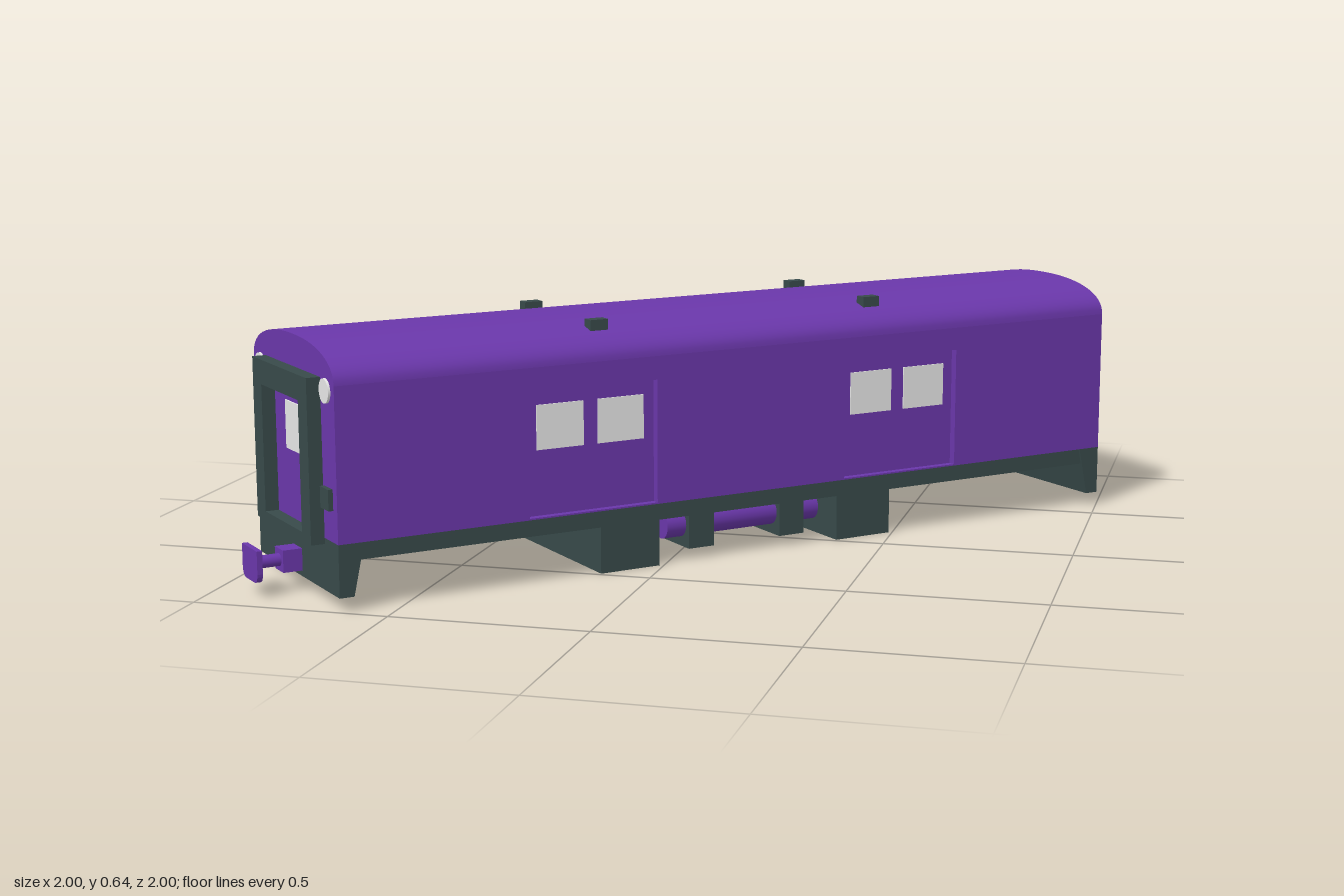
import * as THREE from 'three';
import { toCreasedNormals } from 'three/addons/utils/BufferGeometryUtils.js';

const HALF_L = 1.1455, HALF_W = 0.269, FLOOR = 0.165, EAVE = 0.545, TOP = 0.635;

const paint = (name, hex) => {
  const m = new THREE.MeshStandardMaterial({ color: hex });
  m.name = name;
  return m;
};

function rect(PathType, x0, x1, y0, y1) {
  const p = new PathType();
  p.moveTo(x0, y0);
  p.lineTo(x1, y0);
  p.lineTo(x1, y1);
  p.lineTo(x0, y1);
  p.closePath();
  return p;
}

export function createModel() {
  const purple = paint('purple', 0x6a37aa);
  const dark = paint('darkGrey', 0x384a4a);
  const white = paint('white', 0xeeeeee);

  const model = new THREE.Group();
  model.name = 'railCar';
  const car = new THREE.Group();
  car.name = 'car';
  car.rotation.y = Math.PI / 4; // the car stands diagonally
  model.add(car);

  const add = (parent, name, geometry, material) => {
    const mesh = new THREE.Mesh(geometry, material);
    mesh.name = name;
    parent.add(mesh);
    return mesh;
  };
  // Box given by its limits along the car, upwards and across
  const box = (parent, name, material, x0, x1, y0, y1, z0, z1) => {
    const g = new THREE.BoxGeometry(x1 - x0, y1 - y0, z1 - z0);
    g.translate((x0 + x1) / 2, (y0 + y1) / 2, (z0 + z1) / 2);
    return add(parent, name, g, material);
  };

  // Body core, which also forms the recessed door panels
  box(car, 'bodyCore', purple, -HALF_L, HALF_L, FLOOR, EAVE, -0.249, 0.249);

  // Roof arch
  const arch = new THREE.Shape();
  arch.moveTo(-HALF_W, EAVE);
  arch.lineTo(HALF_W, EAVE);
  const steps = 28;
  for (let i = 1; i <= steps; i++) {
    const a = (Math.PI * i) / steps, c = Math.cos(a), s = Math.sin(a);
    arch.lineTo(HALF_W * Math.sign(c) * Math.abs(c) ** 0.88, EAVE + (TOP - EAVE) * Math.abs(s) ** 0.88);
  }
  let roof = new THREE.ExtrudeGeometry(arch, { depth: HALF_L * 2, bevelEnabled: false });
  roof.translate(0, 0, -HALF_L);
  roof.rotateY(Math.PI / 2);
  add(car, 'roof', toCreasedNormals(roof, 0.7), purple);

  // Sides: wall with door openings, paired windows, roof vents, underfloor cylinder
  for (const turn of [0, Math.PI]) {
    const side = new THREE.Group();
    side.name = turn ? 'rearSide' : 'frontSide';
    side.rotation.y = turn;
    car.add(side);

    const wall = rect(THREE.Shape, -HALF_L, HALF_L, FLOOR, EAVE);
    for (const x of [-0.463, 0.463]) {
      wall.holes.push(rect(THREE.Path, x - 0.18, x + 0.18, FLOOR + 0.004, 0.485));
      for (const s of [-1, 1]) {
        const w = x + s * 0.085;
        box(side, 'doorWindow', white, w - 0.065, w + 0.065, 0.335, 0.448, 0.247, 0.252);
      }
    }
    const wallGeo = new THREE.ExtrudeGeometry(wall, { depth: 0.02, bevelEnabled: false });
    wallGeo.translate(0, 0, HALF_W - 0.02);
    add(side, 'sideWall', wallGeo, purple);

    for (const x of [-0.41, 0.41]) box(side, 'roofVent', dark, x - 0.025, x + 0.025, 0.59, 0.638, 0.168, 0.2);

    const tank = new THREE.CylinderGeometry(0.036, 0.036, 0.46, 20);
    tank.rotateZ(Math.PI / 2);
    tank.translate(0, 0.088, 0.19);
    add(side, 'airCylinder', tank, purple);
  }

  // Underframe
  box(car, 'underframe', dark, -HALF_L, HALF_L, 0.122, FLOOR, -0.264, 0.264);
  for (const s of [-1, 1]) {
    const span = (name, a, b, y0, y1, w) =>
      box(car, name, dark, Math.min(s * a, s * b), Math.max(s * a, s * b), y0, y1, -w, w);
    span('floorPanel', 0.439, 1.1, 0.102, 0.124, 0.14);
    span('equipmentBox', 0.27, 0.439, 0, 0.124, 0.255);
    span('crossBeam', 0.1, 0.175, 0.028, 0.124, 0.24);
  }
  box(car, 'centreBeam', dark, -0.1, 0.1, 0.06, 0.124, -0.06, 0.06);

  // Ends
  for (const turn of [0, Math.PI]) {
    const end = new THREE.Group();
    end.name = turn ? 'leftEnd' : 'rightEnd';
    end.rotation.y = turn;
    car.add(end);

    // Tapered headstock
    const stock = new THREE.Shape();
    stock.moveTo(1.08, FLOOR);
    stock.lineTo(1.108, 0.035);
    stock.lineTo(HALF_L, 0.035);
    stock.lineTo(HALF_L, FLOOR);
    stock.closePath();
    const stockGeo = new THREE.ExtrudeGeometry(stock, { depth: HALF_W * 2, bevelEnabled: false });
    stockGeo.translate(0, 0, -HALF_W);
    add(end, 'headstock', stockGeo, dark);

    // Gangway frame around the end door
    const frame = rect(THREE.Shape, -0.183, 0.183, 0.15, 0.555);
    frame.holes.push(rect(THREE.Path, -0.125, 0.125, 0.172, 0.493));
    const frameGeo = new THREE.ExtrudeGeometry(frame, { depth: 0.035, bevelEnabled: false });
    frameGeo.rotateY(Math.PI / 2);
    frameGeo.translate(HALF_L, 0, 0);
    add(end, 'gangwayFrame', frameGeo, dark);
    box(end, 'endDoorWindow', white, HALF_L - 0.002, HALF_L + 0.004, 0.345, 0.465, -0.047, 0.047);

    for (const s of [-1, 1]) {
      const lamp = new THREE.CylinderGeometry(0.03, 0.03, 0.008, 24);
      lamp.rotateZ(Math.PI / 2);
      lamp.translate(HALF_L + 0.002, 0.527, s * 0.218);
      add(end, 'markerLamp', lamp, white);
      box(end, 'tailLampBlock', dark, HALF_L - 0.002, HALF_L + 0.012, 0.243, 0.295, s * 0.218 - 0.026, s * 0.218 + 0.026);
    }

    // Coupler: shank, collar and rounded head plate
    const shank = new THREE.CylinderGeometry(0.016, 0.016, 0.12, 16);
    shank.rotateZ(Math.PI / 2);
    shank.translate(1.2, 0.078, 0);
    add(end, 'couplerShank', shank, purple);
    box(end, 'couplerCollar', purple, HALF_L, 1.195, 0.05, 0.106, -0.028, 0.028);

    const head = new THREE.Shape();
    head.moveTo(-0.052, 0.118);
    head.lineTo(-0.052, 0.06);
    head.quadraticCurveTo(-0.05, 0.036, -0.028, 0.036);
    head.lineTo(0.028, 0.036);
    head.quadraticCurveTo(0.05, 0.036, 0.052, 0.06);
    head.lineTo(0.052, 0.118);
    head.closePath();
    const headGeo = new THREE.ExtrudeGeometry(head, { depth: 0.014, bevelEnabled: false, curveSegments: 6 });
    headGeo.rotateY(Math.PI / 2);
    headGeo.translate(1.256, 0, 0);
    add(end, 'couplerHead', headGeo, purple);
  }
  return model;
}
